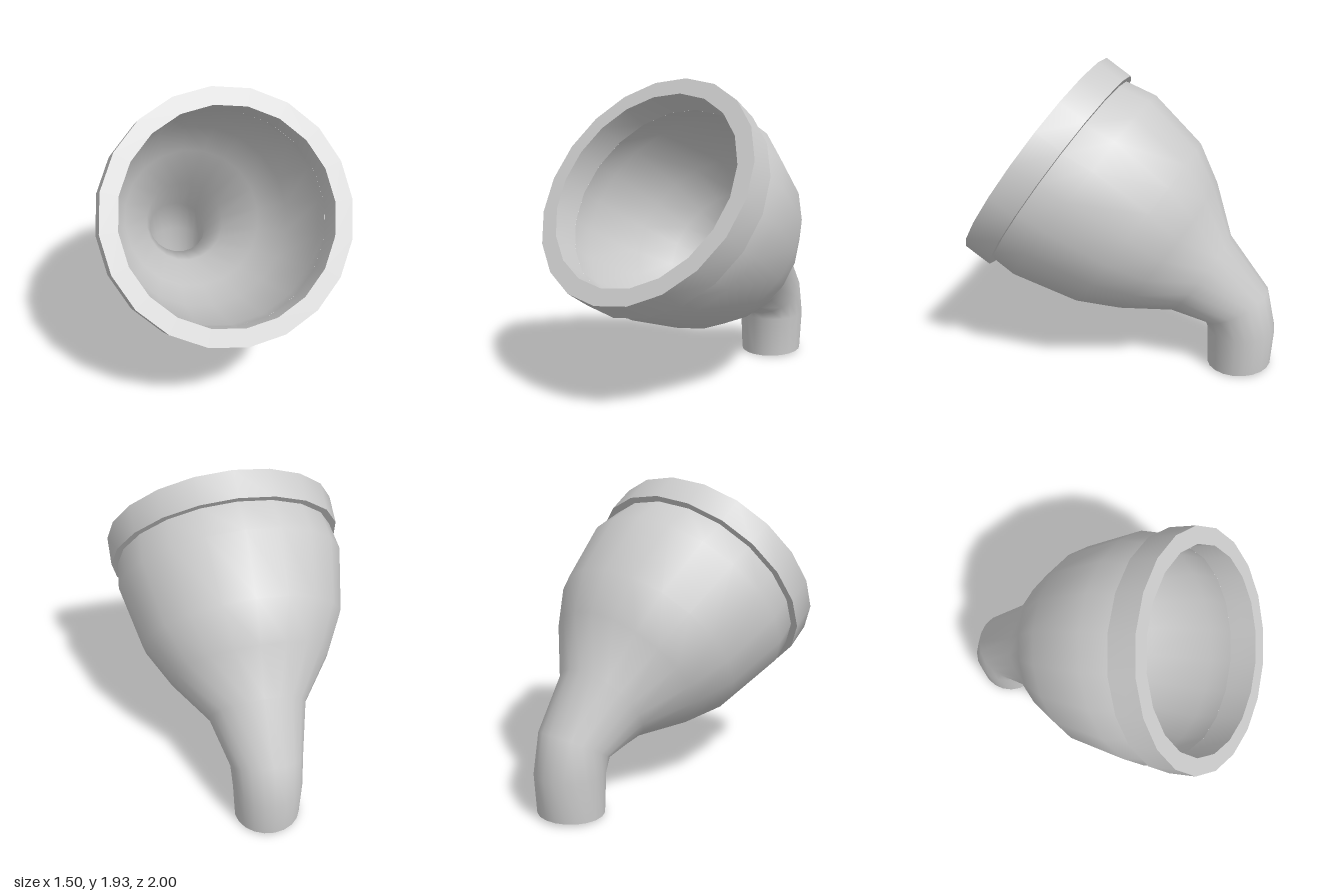
import * as THREE from 'three';
import { toCreasedNormals } from 'three/addons/utils/BufferGeometryUtils.js';

const SIDES = 20;

// Skin circular rings into a tube; each ring is { y, z, uy, uz } with its radius vector u in the yz plane
function skinRings(rings) {
  const positions = [];
  const index = [];
  for (const { y, z, uy, uz } of rings) {
    const radius = Math.hypot(uy, uz);
    for (let j = 0; j < SIDES; j++) {
      const a = (j / SIDES) * Math.PI * 2;
      positions.push(Math.sin(a) * radius, y + Math.cos(a) * uy, z + Math.cos(a) * uz);
    }
  }
  for (let i = 0; i < rings.length - 1; i++) {
    for (let j = 0; j < SIDES; j++) {
      const a = i * SIDES + j;
      const b = i * SIDES + ((j + 1) % SIDES);
      index.push(a, b, a + SIDES, b, b + SIDES, a + SIDES);
    }
  }
  const geometry = new THREE.BufferGeometry();
  geometry.setAttribute('position', new THREE.Float32BufferAttribute(positions, 3));
  geometry.setIndex(index);
  return toCreasedNormals(geometry, 1.1);
}

export function createModel() {
  const group = new THREE.Group();
  group.name = 'funnel';
  const material = new THREE.MeshStandardMaterial({ color: 0xcccccc });

  // Body and bent spout: upper z, y, lower z, y, wall thickness
  const sections = [
    [0.044, 1.796, 0.821, 0.615, 0.065],
    [-0.15, 1.72, 0.69, 0.53, 0.06],
    [-0.45, 1.44, 0.28, 0.39, 0.05],
    [-0.57, 1.2, 0.0, 0.36, 0.045],
    [-0.68, 0.87, -0.33, 0.365, 0.035],
    [-0.94, 0.54, -0.55, 0.31, 0.025],
    [-1.0, 0.27, -0.565, 0.27, 0.02],
    [-0.985, 0.02, -0.575, 0.0, 0.02],
  ];
  const outer = sections.map(([z1, y1, z2, y2]) => ({
    y: (y1 + y2) / 2, z: (z1 + z2) / 2, uy: (y1 - y2) / 2, uz: (z1 - z2) / 2,
  }));
  const inner = outer.map((ring, i) => {
    const k = 1 - sections[i][4] / Math.hypot(ring.uy, ring.uz);
    return { ...ring, uy: ring.uy * k, uz: ring.uz * k };
  });
  // Down the outside, across the spout lip, back up the inside
  const body = new THREE.Mesh(skinRings([...outer, ...inner.reverse()]), material);
  body.name = 'bowlAndSpout';
  group.add(body);

  // Thick collar round the tilted mouth
  const profile = [[0.642, 0.187], [0.642, 0], [0.75, 0], [0.75, 0.187], [0.642, 0.187]]
    .map(([r, h]) => new THREE.Vector2(r, h));
  const rim = new THREE.Mesh(toCreasedNormals(new THREE.LatheGeometry(profile, SIDES), 0.6), material);
  rim.name = 'rim';
  rim.position.set(0, 1.2055, 0.4325);
  rim.rotation.x = 0.989;
  group.add(rim);

  return group;
}
